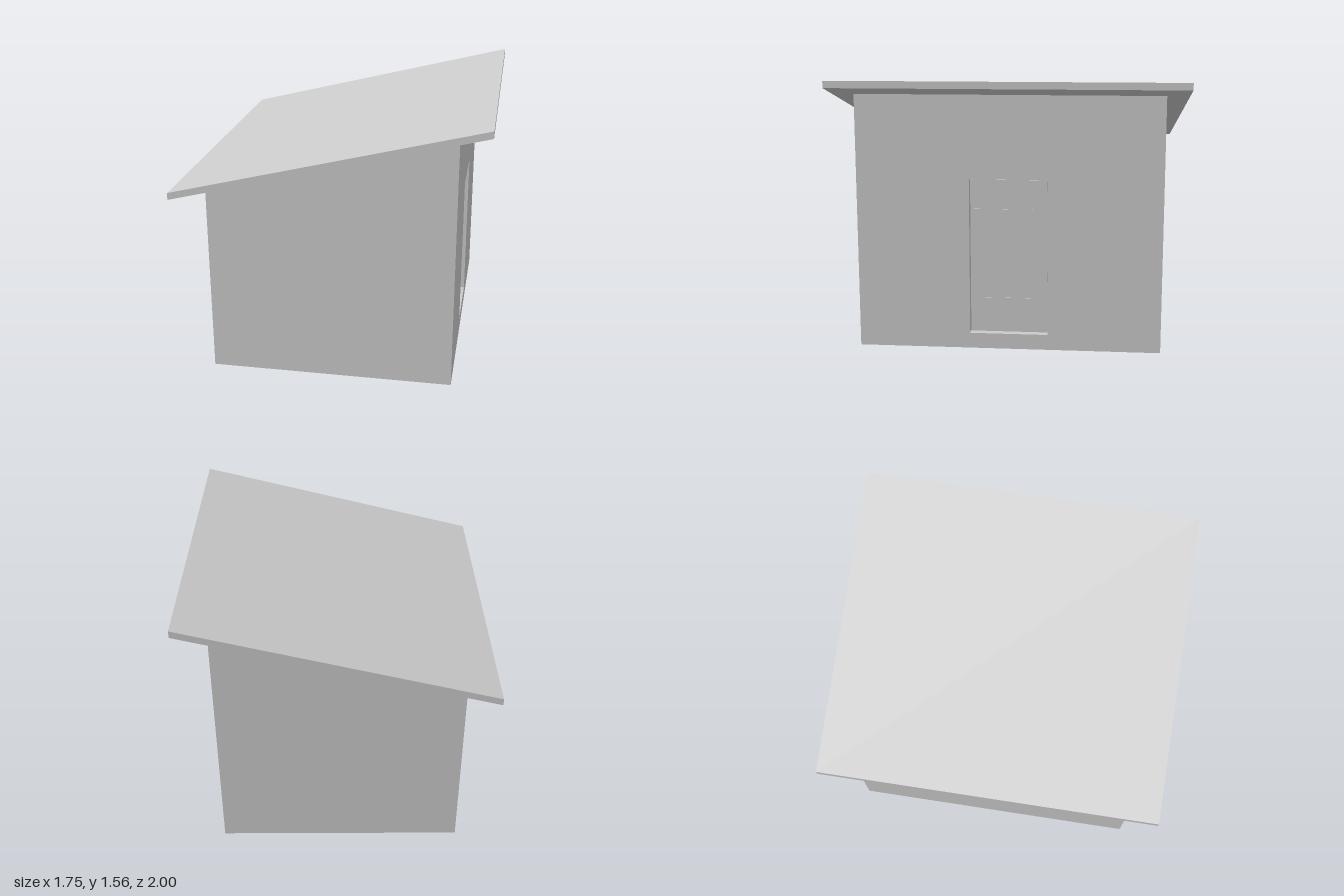
import * as THREE from 'three';

const material = new THREE.MeshStandardMaterial({ color: 0xcccccc, flatShading: true });

// Flat-sided geometry from quads with corners listed counterclockwise
function quads(list) {
  const position = list.flatMap(([a, b, c, d]) => [a, b, c, a, c, d]).flat();
  const geometry = new THREE.BufferGeometry();
  geometry.setAttribute('position', new THREE.Float32BufferAttribute(position, 3));
  geometry.computeVertexNormals();
  return geometry;
}

export function createModel() {
  const group = new THREE.Group();
  const add = (name, geometry, x = 0, y = 0, z = 0) => {
    const mesh = new THREE.Mesh(geometry, material);
    mesh.name = name;
    mesh.position.set(x, y, z);
    group.add(mesh);
  };

  const X = 0.7, Z = 0.875;                      // half width and half depth of the walls
  const slope = 0.44 / 1.75;
  const high = 1.3 + X * slope, low = 1.3 - X * slope;
  const inner = 0.65, w = 0.225, sill = 0.09, head = 1.0; // door recess

  // Rectangle facing +x
  const side = (x, z0, z1, y0, y1) => [[x, y0, z1], [x, y0, z0], [x, y1, z0], [x, y1, z1]];

  // Walls under the sloping roof, and the floor
  add('walls', quads([
    [[-X, 0, Z], [X, 0, Z], [X, high, Z], [-X, low, Z]],
    [[X, 0, -Z], [-X, 0, -Z], [-X, low, -Z], [X, high, -Z]],
    side(-X, -Z, Z, 0, low).reverse(),
    side(X, -Z, -w, 0, high),
    side(X, w, Z, 0, high),
    side(X, -w, w, 0, sill),
    side(X, -w, w, head, high),
  ]));
  add('floor', quads([[[-X, 0, -Z], [X, 0, -Z], [X, 0, Z], [-X, 0, Z]]]));

  // Door recess in the tall wall
  const ledge = (y) => [[X, y, w], [X, y, -w], [inner, y, -w], [inner, y, w]];
  const jamb = (z) => [[inner, sill, z], [X, sill, z], [X, head, z], [inner, head, z]];
  add('doorRecess', quads([
    ledge(sill), ledge(head).reverse(),
    jamb(-w), jamb(w).reverse(),
    side(inner, -w, w, sill, head),
  ]));

  // Door panel with two thin hinge straps
  const panelHeight = head - sill - 0.01;
  add('door', new THREE.BoxGeometry(0.005, panelHeight, 2 * w - 0.01), inner + 0.0025, sill + panelHeight / 2, 0);
  for (const y of [0.28, 0.805]) {
    add('hingeStrap', new THREE.BoxGeometry(0.003, 0.03, 0.36), inner + 0.0065, y, 0.04);
  }

  // Overhanging single-pitch roof
  const profile = new THREE.Shape([
    [-0.875, 1.08], [0.875, 1.52], [0.875, 1.56], [-0.875, 1.12],
  ].map(([x, y]) => new THREE.Vector2(x, y)));
  add('roof', new THREE.ExtrudeGeometry(profile, { depth: 2, bevelEnabled: false }), 0, 0, -1);

  return group;
}
